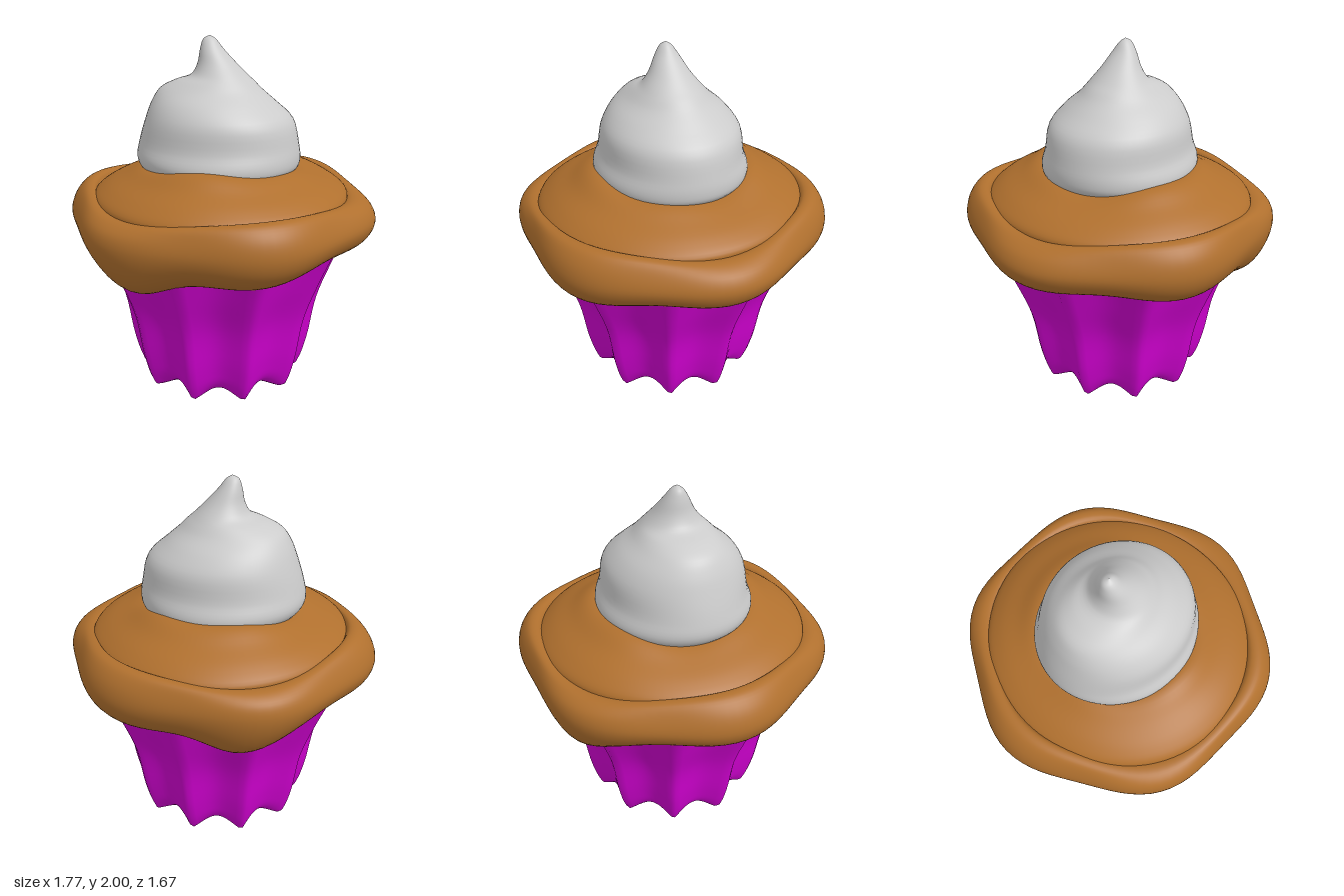
import * as THREE from 'three';

const V = (x, y, z) => new THREE.Vector3(x, y, z);

// Smooth closed skin: point(key, angle) gives the cross-section, rows are splined between keys.
// Angle 0 faces +z and grows towards +x; keys run from the bottom up.
function loft(name, color, keys, segs, rows, point, side = THREE.FrontSide) {
  const pos = [], idx = [];
  for (let j = 0; j < segs; j++) {
    const a = (j / segs) * Math.PI * 2;
    const curve = new THREE.CatmullRomCurve3(keys.map((k) => point(k, a)));
    for (let i = 0; i <= rows; i++) pos.push(...curve.getPoint(i / rows).toArray());
  }
  const at = (i, j) => (j % segs) * (rows + 1) + i;
  for (let j = 0; j < segs; j++) {
    for (let i = 0; i < rows; i++) {
      const a = at(i, j), b = at(i, j + 1), c = at(i + 1, j), d = at(i + 1, j + 1);
      idx.push(a, b, c, b, d, c);
    }
  }
  const geo = new THREE.BufferGeometry();
  geo.setAttribute('position', new THREE.Float32BufferAttribute(pos, 3));
  geo.setIndex(idx);
  geo.computeVertexNormals();
  const mesh = new THREE.Mesh(geo, new THREE.MeshStandardMaterial({ color, side }));
  mesh.name = name;
  return mesh;
}

export function createModel() {
  const group = new THREE.Group();
  group.name = 'cupcake';

  // Pleated paper cup with its star-shaped base: 1 on a sharp ridge, 0 in a round valley
  const PLEATS = 10;
  const pleat = (a) => 1 - Math.abs(Math.sin((PLEATS * (a + 0.125)) / 2));
  // [valley height, ridge height, valley radius, ridge radius]
  const cup = [
    [0.02, 0.02, 0, 0], [0.025, 0.012, 0.2, 0.24], [0.05, 0.005, 0.37, 0.465], [0.1, 0.05, 0.43, 0.49],
    [0.22, 0.2, 0.465, 0.535], [0.47, 0.47, 0.51, 0.585], [0.7, 0.7, 0.595, 0.67], [0.9, 0.9, 0.665, 0.76],
  ];
  group.add(loft('paperCup', 0xd000d0, cup, PLEATS * 12, 35, ([y0, y1, r0, r1], a) => {
    const p = pleat(a), r = r0 + (r1 - r0) * p;
    return V(r * Math.sin(a), y0 + (y1 - y0) * p, r * Math.cos(a));
  }, THREE.DoubleSide));

  // Lobed icing rim: six bulges, with two longer drips on the right
  const lobe = (a) => -Math.cos(6 * a);
  const drip = (a) => [-0.45, -2.78].reduce((s, c) => {
    const d = Math.atan2(Math.sin(a - c), Math.cos(a - c));
    return s + Math.exp(-((d / 0.3) ** 2));
  }, 0);
  // [radius, height, lobe amount, droop amount, top wave amount]
  const rim = [
    [0, 0.84, 0, 0, 0], [0.5, 0.83, 0, 0.5, 0], [0.66, 0.815, 0.01, 1, 0], [0.765, 0.86, 0.02, 0.9, 0],
    [0.835, 0.93, 0.025, 0.4, 0], [0.86, 1.01, 0.025, 0, 0], [0.835, 1.095, 0.025, 0, 0.5],
    [0.785, 1.148, 0.015, 0, 1], [0.735, 1.15, 0.01, 0, 1], [0.695, 1.11, 0, 0, 0.5], [0, 1.1, 0, 0, 0],
  ];
  group.add(loft('icingRim', 0xb0702e, rim, 96, 48, ([r, y, l, s, w], a) => {
    const rr = r + l * lobe(a) + 0.015 * w * Math.cos(2 * a);
    const droop = 0.012 * lobe(a) + 0.02 * Math.cos(2 * a) + 0.075 * drip(a);
    return V(rr * Math.sin(a), y - s * droop + 0.025 * w * Math.sin(3 * a), rr * Math.cos(a));
  }));

  // Domed icing top, higher at front and back
  const dome = [
    [0.74, 1.09, 0], [0.735, 1.14, 0], [0.67, 1.195, 0.005], [0.56, 1.25, 0.012],
    [0.45, 1.3, 0.025], [0.35, 1.3, 0.02], [0, 1.3, 0],
  ];
  group.add(loft('icingTop', 0xb0702e, dome, 96, 28, ([r, y, w], a) => {
    const rr = r * (1 + 0.025 * Math.cos(2 * a));
    return V(rr * Math.sin(a), y + w * Math.cos(2 * a) + 0.3 * w * Math.cos(5 * a), rr * Math.cos(a));
  }));

  // Whipped cream with a tip leaning right: [height, right x, left x, half depth]
  const cream = [
    [1.22, -0.38, 0.36, 0.36], [1.29, -0.46, 0.44, 0.42], [1.34, -0.478, 0.45, 0.425],
    [1.42, -0.465, 0.44, 0.395], [1.55, -0.425, 0.405, 0.375], [1.64, -0.39, 0.31, 0.315],
    [1.71, -0.345, 0.23, 0.235], [1.755, -0.26, 0.185, 0.19], [1.79, -0.165, 0.145, 0.155],
    [1.85, -0.13, 0.085, 0.11], [1.93, -0.115, 0.01, 0.065], [1.98, -0.098, -0.03, 0.03],
    [2, -0.062, -0.062, 0],
  ];
  group.add(loft('whippedCream', 0xcccccc, cream, 64, 48, ([y, x0, x1, d], a) =>
    V((x0 + x1) / 2 + ((x1 - x0) / 2) * Math.sin(a), y, d * Math.cos(a))));

  return group;
}
